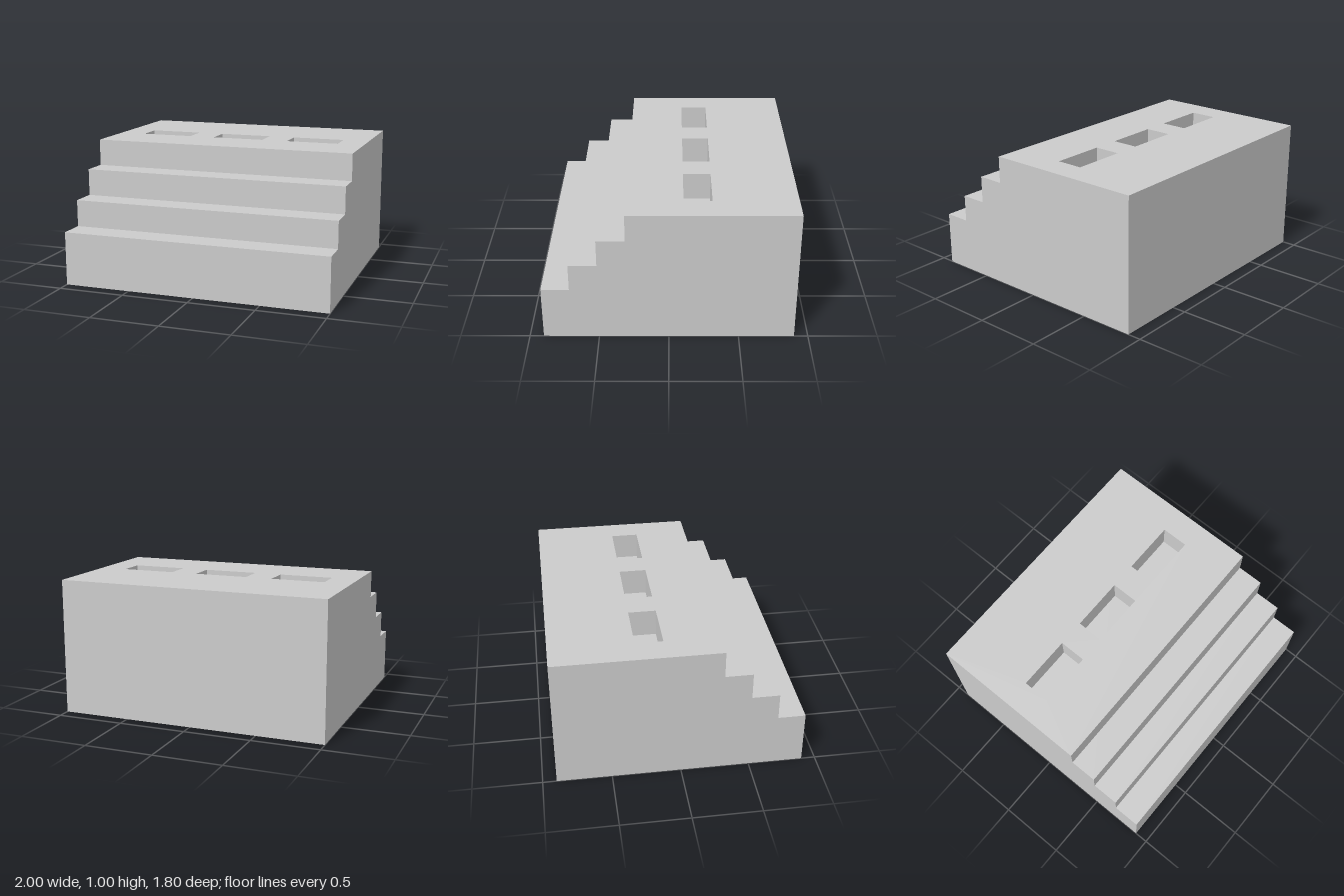
import * as THREE from 'three';

const material = new THREE.MeshStandardMaterial({ color: 0xcccccc, flatShading: true });

// Rectangle outline from its corners, for a Shape or a hole Path
function rectangle(Type, x0, y0, x1, y1) {
  const path = new Type();
  path.moveTo(x0, y0).lineTo(x1, y0).lineTo(x1, y1).lineTo(x0, y1).closePath();
  return path;
}

function addPart(group, name, geometry) {
  const mesh = new THREE.Mesh(geometry, material);
  mesh.name = name;
  group.add(mesh);
}

export function createModel() {
  const group = new THREE.Group();
  group.name = 'steppedBlock';
  const width = 2, back = -0.9, front = 0.9, tread = 0.2, slotDepth = 0.2;
  const deckTop = 1, deckFront = 0.3, deckBottom = deckTop - slotDepth;

  // Stepped base: side profile (z, y) extruded across the width
  const profile = new THREE.Shape();
  profile.moveTo(back, 0).lineTo(front, 0);
  for (let i = 0; i < 3; i++) {
    const y = 0.4 + i * tread;
    profile.lineTo(front - i * tread, y);
    profile.lineTo(i < 2 ? front - (i + 1) * tread : back, y);
  }
  profile.closePath();
  const base = new THREE.ExtrudeGeometry(profile, { depth: width, bevelEnabled: false });
  base.rotateY(-Math.PI / 2).translate(width / 2, 0, 0);
  addPart(group, 'steppedBase', base);

  // Top deck: plan outline (x, -z) pierced by three slots, floored by the base
  const plan = rectangle(THREE.Shape, -width / 2, -deckFront, width / 2, -back);
  for (const x of [-0.6, 0, 0.6]) {
    plan.holes.push(rectangle(THREE.Path, x - 0.2, 0.1, x + 0.2, 0.3));
  }
  const deck = new THREE.ExtrudeGeometry(plan, { depth: slotDepth, bevelEnabled: false });
  deck.rotateX(-Math.PI / 2).translate(0, deckBottom, 0);
  addPart(group, 'slottedDeck', deck);

  return group;
}
